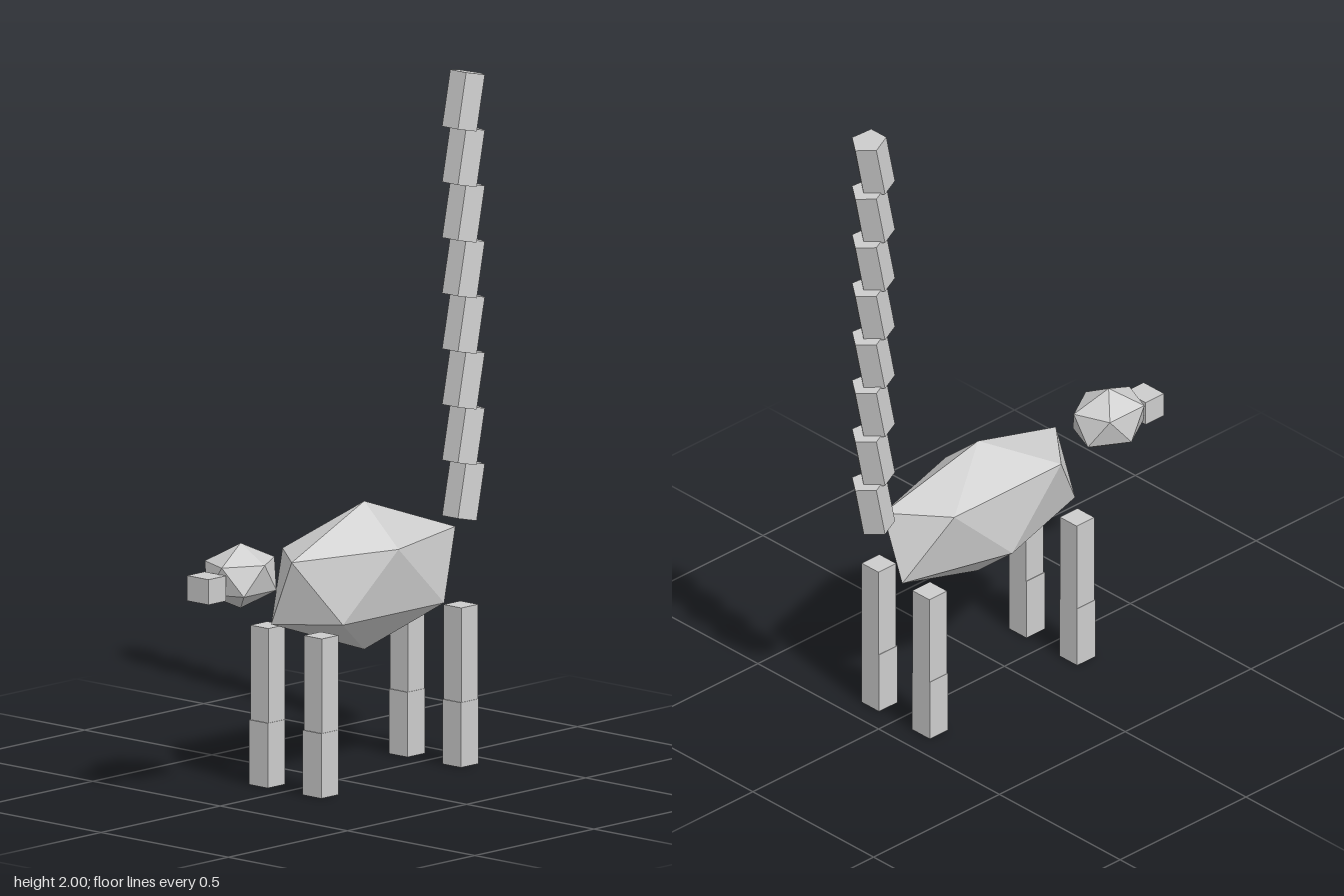
import * as THREE from 'three';

const grey = new THREE.MeshStandardMaterial({ color: 0xcccccc, flatShading: true });
grey.name = 'plain grey';

function add(parent, name, geometry, x, y, z) {
  const mesh = new THREE.Mesh(geometry, grey);
  mesh.name = name;
  mesh.position.set(x, y, z);
  parent.add(mesh);
  return mesh;
}

// Twenty-sided ball standing on a point; lean slides the upper ring forward.
function facetedBall(rx, ry, rz, lean = 0) {
  const ring = (side, start, shift) => Array.from({ length: 5 }, (_, i) => {
    const a = start + (i * Math.PI * 2) / 5;
    return [0.8944 * rx * Math.cos(a), side * 0.4472 * ry, 0.8944 * rz * Math.sin(a) + shift];
  });
  const upper = ring(1, 0, lean);
  const lower = ring(-1, Math.PI / 5, 0);
  const top = [0, ry, 0];
  const bottom = [0, -ry, 0];
  const points = [];
  for (let i = 0; i < 5; i++) {
    const n = (i + 1) % 5;
    points.push(
      top, upper[n], upper[i],
      upper[i], upper[n], lower[i],
      lower[i], upper[n], lower[n],
      bottom, lower[i], lower[n]
    );
  }
  const geometry = new THREE.BufferGeometry();
  geometry.setAttribute('position', new THREE.Float32BufferAttribute(points.flat(), 3));
  geometry.computeVertexNormals();
  return geometry;
}

export function createModel() {
  const model = new THREE.Group();
  model.name = 'longTailedAnimal';

  // Body and floating head with a box muzzle
  add(model, 'body', facetedBall(0.159, 0.2175, 0.404, 0.008), 0, 0.583, -0.105);
  add(model, 'head', facetedBall(0.106, 0.0955, 0.13), 0, 0.6625, 0.414);
  add(model, 'muzzle', new THREE.BoxGeometry(0.084, 0.074, 0.073), 0, 0.647, 0.557);

  // Four legs, each an upper and a slightly thicker lower box
  const upperLeg = new THREE.BoxGeometry(0.07, 0.277, 0.07);
  const lowerLeg = new THREE.BoxGeometry(0.073, 0.19, 0.073);
  for (const [end, z] of [['front', 0.188], ['back', -0.398]]) {
    for (const [side, x] of [['Left', 0.105], ['Right', -0.105]]) {
      const leg = new THREE.Group();
      leg.name = `${end}${side}Leg`;
      leg.position.set(x, 0, z);
      add(leg, 'upperLeg', upperLeg, 0, 0.3285, 0);
      add(leg, 'lowerLeg', lowerLeg, 0, 0.095, 0.002);
      model.add(leg);
    }
  }

  // Upright tail of eight tilted five-sided segments
  const tail = new THREE.Group();
  tail.name = 'tail';
  const segment = new THREE.CylinderGeometry(0.053, 0.053, 0.165, 5, 1, false, Math.PI);
  for (let i = 0; i < 8; i++) {
    add(tail, 'tailSegment', segment, 0, 0.769 + i * 0.163, -0.524).rotation.x = -0.21;
  }
  model.add(tail);

  return model;
}
